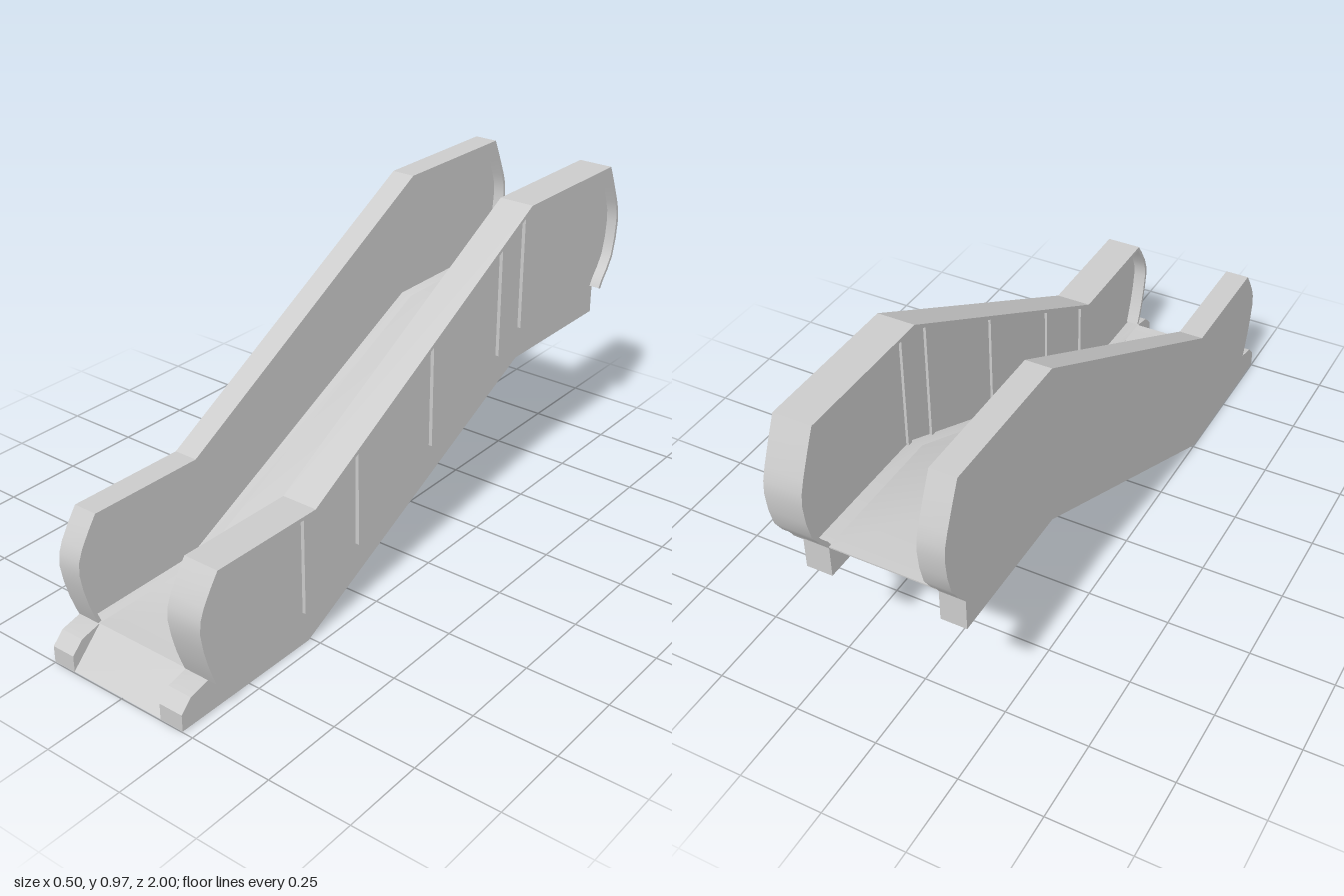
import * as THREE from 'three';
import { toCreasedNormals } from 'three/addons/utils/BufferGeometryUtils.js';

const grey = new THREE.MeshStandardMaterial({ color: 0xcccccc });

// Side profile given as [z, y] points, extruded across x from x0 to x1
function profile(name, points, x0, x1) {
  const shape = new THREE.Shape(points.map(([z, y]) => new THREE.Vector2(z, y)));
  const solid = new THREE.ExtrudeGeometry(shape, { depth: x1 - x0, bevelEnabled: false });
  solid.rotateY(-Math.PI / 2).translate(x1, 0, 0);
  const mesh = new THREE.Mesh(toCreasedNormals(solid, 0.5), grey);
  mesh.name = name;
  return mesh;
}

// Smooth curve through [z, y] points
function smooth(points, count) {
  const curve = new THREE.SplineCurve(points.map(([z, y]) => new THREE.Vector2(z, y)));
  return curve.getPoints(count).map((p) => [p.x, p.y]);
}

// Shift a polyline sideways by d, to the left of its direction
function offset(points, d) {
  return points.map((p, i) => {
    const a = points[Math.max(i - 1, 0)];
    const b = points[Math.min(i + 1, points.length - 1)];
    const dir = (u, v) => new THREE.Vector2(v[0] - u[0], v[1] - u[1]).normalize();
    const t = (i === 0 ? dir(p, b) : dir(a, p)).add(i === points.length - 1 ? dir(a, p) : dir(p, b)).normalize();
    return [p[0] - t.y * d, p[1] + t.x * d];
  });
}

// Line followed by the walking surface
const walkway = [[0.9, 0.133], [0.51, 0.133], [-0.48, 0.607], [-0.92, 0.607]];

// Line followed by the handrail, from the lower end to the upper end
const railLine = [
  ...smooth([[0.904, 0.135], [0.93, 0.206], [0.953, 0.313], [0.936, 0.382], [0.882, 0.463]], 8),
  [0.51, 0.457], [-0.48, 1.0],
  ...smooth([[-0.93, 0.997], [-0.984, 0.874], [-1.0, 0.8], [-0.98, 0.687], [-0.93, 0.618], [-0.917, 0.595]], 10),
];

function floorHeight(z) {
  return THREE.MathUtils.clamp(0.133 + ((0.51 - z) / 0.99) * 0.474, 0.133, 0.607);
}

function railHeight(z) {
  return THREE.MathUtils.clamp(0.457 + ((0.51 - z) / 0.99) * 0.543, 0.457, 1.0);
}

// One balustrade: base beam, panel and overhanging handrail
function balustrade(name, base, panel, rail) {
  const group = new THREE.Group();
  group.name = name;
  const beam = [
    [1, 0.033], [1, 0.083], [0.965, 0.118], ...walkway,
    [-0.92, 0.507], [-0.48, 0.507], [0.51, 0.03],
  ];
  group.add(profile('baseBeam', beam, ...base));
  const inner = offset(railLine, 0.005);
  group.add(profile('sidePanel', [...inner, ...[...walkway].reverse()], ...panel));
  const ring = [...railLine, ...offset(railLine, 0.011).reverse()];
  group.add(profile('handrail', ring, ...rail));
  return group;
}

export function createModel() {
  const model = new THREE.Group();
  model.name = 'escalator';

  model.add(balustrade('rightBalustrade', [-0.25, -0.175], [-0.25, -0.212], [-0.25, -0.175]));
  const left = balustrade('leftBalustrade', [0.14, 0.217], [0.18, 0.217], [0.14, 0.25]);
  model.add(left);

  // Upright strips through the left panel
  for (const z of [0.525, 0.295, -0.043, -0.375, -0.49]) {
    const y0 = floorHeight(z);
    const y1 = railHeight(z) - 0.008;
    const post = new THREE.Mesh(new THREE.BoxGeometry(0.056, y1 - y0, 0.015), grey);
    post.position.set(0.2, (y0 + y1) / 2, z);
    post.name = 'panelPost';
    left.add(post);
  }

  // Thin walkway with an entry ramp at the lower end
  const top = [[1, 0.035], ...walkway];
  model.add(profile('walkway', [...top, ...offset(top, 0.004).reverse()], -0.176, 0.141));

  return model;
}
